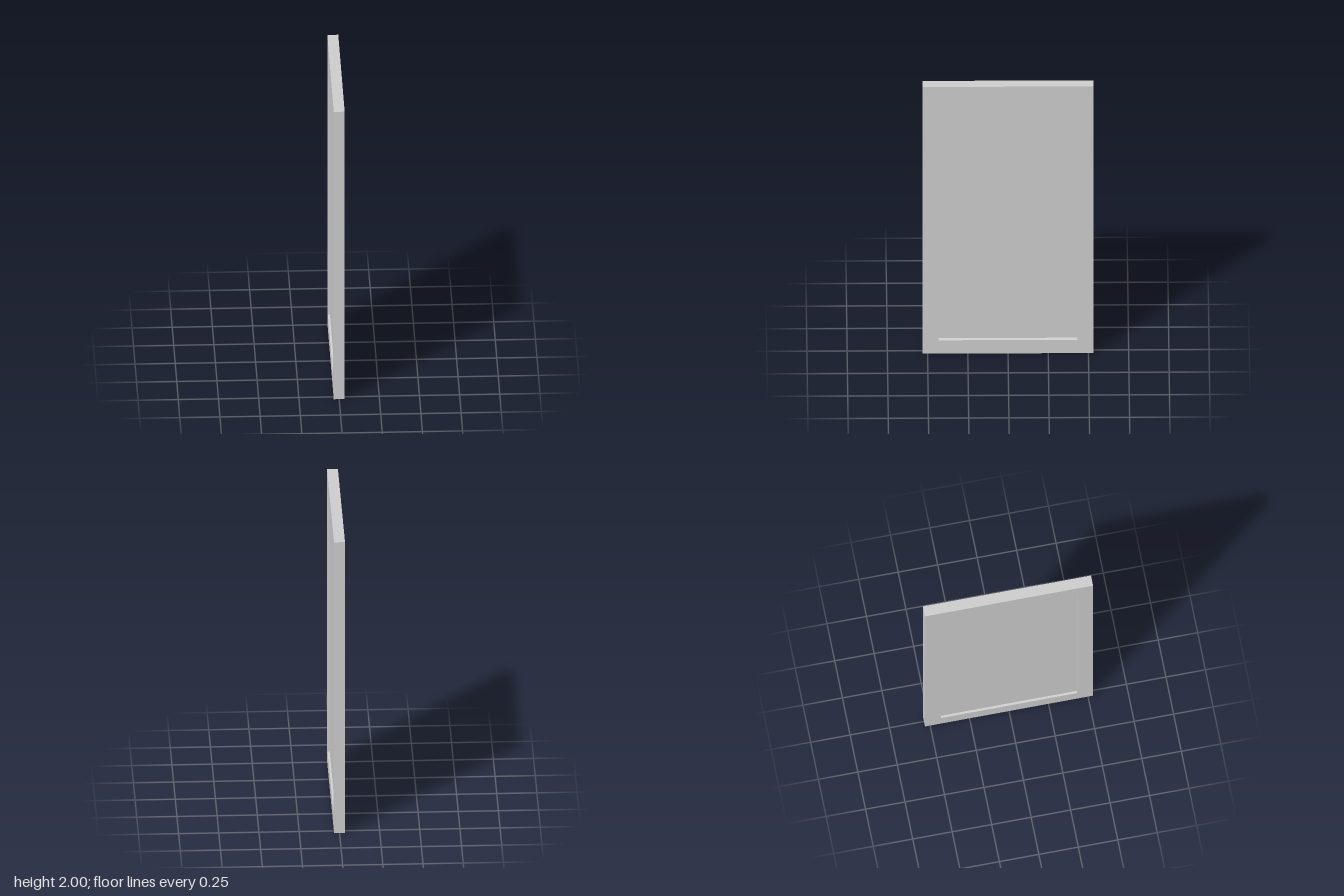
import * as THREE from 'three';

const H = 2, W = 1.065, T = 0.068;       // overall height, width (z), thickness (x)
const OPEN_W = 0.864, LOW = 0.1, HIGH = 1.9; // opening in the frame
const PANEL_T = 0.044;                   // panel sits back on both faces
const BEVEL = 0.008;

const rect = (P, w, y0, y1) => {
  const p = new P();
  p.moveTo(-w / 2, y0);
  p.lineTo(w / 2, y0);
  p.lineTo(w / 2, y1);
  p.lineTo(-w / 2, y1);
  p.closePath();
  return p;
};

export function createModel() {
  const group = new THREE.Group();
  group.name = 'panelledDoor';
  const material = new THREE.MeshStandardMaterial({ color: 0xcccccc, flatShading: true });
  const add = (name, geometry) => {
    const mesh = new THREE.Mesh(geometry, material);
    mesh.name = name;
    group.add(mesh);
    return mesh;
  };

  // Outer frame with a rectangular opening, turned so its width runs along z
  const outline = rect(THREE.Shape, W, 0, H);
  outline.holes.push(rect(THREE.Path, OPEN_W, LOW, HIGH));
  add('frame', new THREE.ExtrudeGeometry(outline, { depth: T, bevelEnabled: false })
    .translate(0, 0, -T / 2).rotateY(Math.PI / 2));

  // Recessed panel, visible from both faces
  add('panel', new THREE.BoxGeometry(PANEL_T, HIGH - LOW, OPEN_W)
    .translate(0, (LOW + HIGH) / 2, 0));

  // Sloped strips along the bottom and top of the recess
  for (const [name, y, rise] of [['bottomBevel', LOW, BEVEL], ['topBevel', HIGH, -BEVEL / 2]]) {
    const profile = new THREE.Shape([
      new THREE.Vector2(-T / 2, y),
      new THREE.Vector2(T / 2, y),
      new THREE.Vector2(PANEL_T / 2, y + rise),
      new THREE.Vector2(-PANEL_T / 2, y + rise),
    ]);
    add(name, new THREE.ExtrudeGeometry(profile, { depth: OPEN_W, bevelEnabled: false })
      .translate(0, 0, -OPEN_W / 2));
  }
  return group;
}
